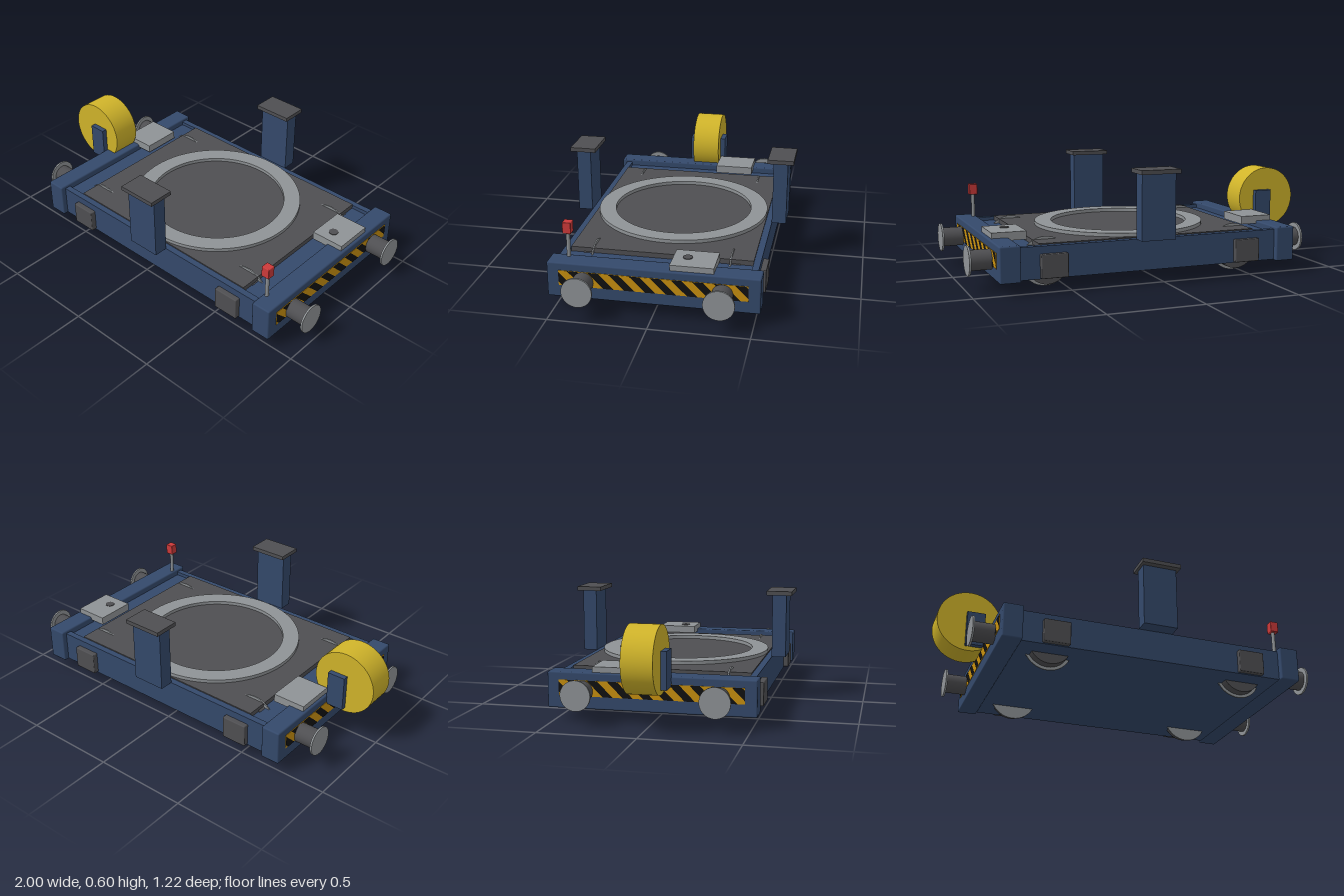
import * as THREE from 'three';
import { RoundedBoxGeometry } from 'three/addons/geometries/RoundedBoxGeometry.js';

const mat = (name, color) => {
  const m = new THREE.MeshStandardMaterial({ color });
  m.name = name;
  return m;
};

export function createModel() {
  const blue = mat('frame blue', 0x34496b);
  const dark = mat('dark grey', 0x4f4f52);
  const grey = mat('light grey', 0x8f9396);
  const yellow = mat('drum yellow', 0xd0b42a);
  const orange = mat('hazard orange', 0xc8900f);
  const black = mat('hazard black', 0x111111);
  const red = mat('lever red', 0xcc3a3a);

  const root = new THREE.Group();
  root.name = 'railTrolley';

  const add = (name, geometry, material, parent = root) => {
    const m = new THREE.Mesh(geometry, material);
    m.name = name;
    parent.add(m);
    return m;
  };
  // Box given by its extents, optionally with softened edges
  const box = (name, material, [x0, x1], [y0, y1], [z0, z1], r = 0) => {
    const s = [x1 - x0, y1 - y0, z1 - z0];
    const g = r ? new RoundedBoxGeometry(...s, 2, r) : new THREE.BoxGeometry(...s);
    const m = add(name, g, material);
    m.position.set((x0 + x1) / 2, (y0 + y1) / 2, (z0 + z1) / 2);
    return m;
  };
  // Cylinder along x, y or z
  const rod = (name, material, axis, r, length, x, y, z, sides = 40) => {
    const m = add(name, new THREE.CylinderGeometry(r, r, length, sides), material);
    if (axis === 'x') m.rotation.z = Math.PI / 2;
    if (axis === 'z') m.rotation.x = Math.PI / 2;
    m.position.set(x, y, z);
    return m;
  };

  // Frame
  box('leftEndBeam', blue, [0.768, 0.875], [0.065, 0.25], [-0.53, 0.53], 0.008);
  box('rightEndBeam', blue, [-0.75, -0.645], [0.065, 0.25], [-0.53, 0.53], 0.008);
  box('floor', blue, [-0.65, 0.77], [0.07, 0.215], [-0.47, 0.47]);
  for (const s of [-1, 1]) {
    const z = s * 0.485;
    box('sideBeam', blue, [-0.65, 0.77], [0.07, 0.235], [z - 0.017, z + 0.017]);
  }

  // Deck plate and turntable ring
  box('deckPlate', dark, [-0.53, 0.66], [0.21, 0.241], [-0.468, 0.468]);
  const ringShape = new THREE.Shape().absarc(0, 0, 0.465, 0, Math.PI * 2);
  ringShape.holes.push(new THREE.Path().absarc(0, 0, 0.375, 0, Math.PI * 2, true));
  const ring = add('turntableRing', new THREE.ExtrudeGeometry(ringShape,
    { depth: 0.02, bevelEnabled: false, curveSegments: 48 }), grey);
  ring.rotation.x = -Math.PI / 2;
  ring.position.set(0.065, 0.24, 0);

  // Wheels with flanges, and axle boxes outside the side beams
  for (const x of [-0.47, 0.595]) {
    for (const s of [-1, 1]) {
      rod('wheelTread', dark, 'z', 0.112, 0.048, x, 0.128, s * 0.378);
      rod('wheelFlange', grey, 'z', 0.128, 0.007, x, 0.128, s * 0.352);
      const z = s * 0.515;
      box('axleBox', dark, [x - 0.07, x + 0.07], [0.075, 0.197], [z - 0.016, z + 0.016], 0.005);
    }
  }

  // Side posts with caps
  for (const s of [-1, 1]) {
    const z = s * 0.539;
    box('sidePost', blue, [-0.03, 0.155], [0.235, 0.577], [z - 0.038, z + 0.038]);
    box('postCap', dark, [-0.045, 0.17], [0.575, 0.597], [z - 0.069, z + 0.069]);
  }

  // Buffers
  for (const [base, dir] of [[0.87, 1], [-0.745, -1]]) {
    for (const z of [-0.345, 0.345]) {
      rod('bufferShank', dark, 'x', 0.052, 0.12, base + dir * 0.06, 0.157, z);
      rod('bufferDisc', grey, 'x', 0.077, 0.01, base + dir * 0.122, 0.157, z);
    }
  }

  // Hazard panels: slanted black stripes clipped to the panel ends
  const W = 0.47, H = 0.04, stripe = 0.052;
  const clip = (points, side) => {
    const out = [];
    points.forEach((p, i) => {
      const q = points[(i + 1) % points.length];
      const a = W - side * p.x, b = W - side * q.x;
      if (a >= 0) out.push(p);
      if (a * b < 0) out.push(p.clone().lerp(q, a / (a - b)));
    });
    return out;
  };
  for (const [x, turn] of [[0.876, 1], [-0.751, -1]]) {
    const panel = new THREE.Group();
    panel.name = 'hazardPanel';
    panel.position.set(x, 0.17, 0);
    panel.rotation.y = turn * Math.PI / 2;
    root.add(panel);
    add('panelBase', new THREE.BoxGeometry(2 * W, 2 * H, 0.003), orange, panel);
    for (let i = 0; i < 10; i++) {
      const u = -0.53 + i * 2 * stripe;
      let pts = [[u, H], [u + 0.08, -H], [u + 0.08 + stripe, -H], [u + stripe, H]]
        .map(p => new THREE.Vector2(...p));
      pts = clip(clip(pts, 1), -1);
      if (pts.length < 3) continue;
      add('hazardStripe', new THREE.ShapeGeometry(new THREE.Shape(pts)), black, panel)
        .position.z = 0.003;
    }
  }

  // Cable drum held between two brackets
  rod('cableDrum', yellow, 'z', 0.171, 0.156, -0.829, 0.346, 0, 64);
  for (const s of [-1, 1]) {
    const z = s * 0.092;
    box('drumBracket', blue, [-0.845, -0.748], [0.2, 0.39], [z - 0.015, z + 0.015]);
  }

  // Equipment boxes
  box('rightEquipmentBox', grey, [-0.735, -0.555], [0.235, 0.279], [-0.3, -0.085]);
  box('leftEquipmentBox', grey, [0.675, 0.858], [0.235, 0.279], [-0.3, -0.083]);
  rod('boxKnob', dark, 'y', 0.025, 0.004, 0.755, 0.28, -0.155, 20);

  // Brake lever
  rod('leverRod', grey, 'y', 0.01, 0.14, 0.787, 0.315, 0.44, 16);
  box('leverHandle', red, [0.764, 0.81], [0.377, 0.437], [0.418, 0.462], 0.004);

  return root;
}
